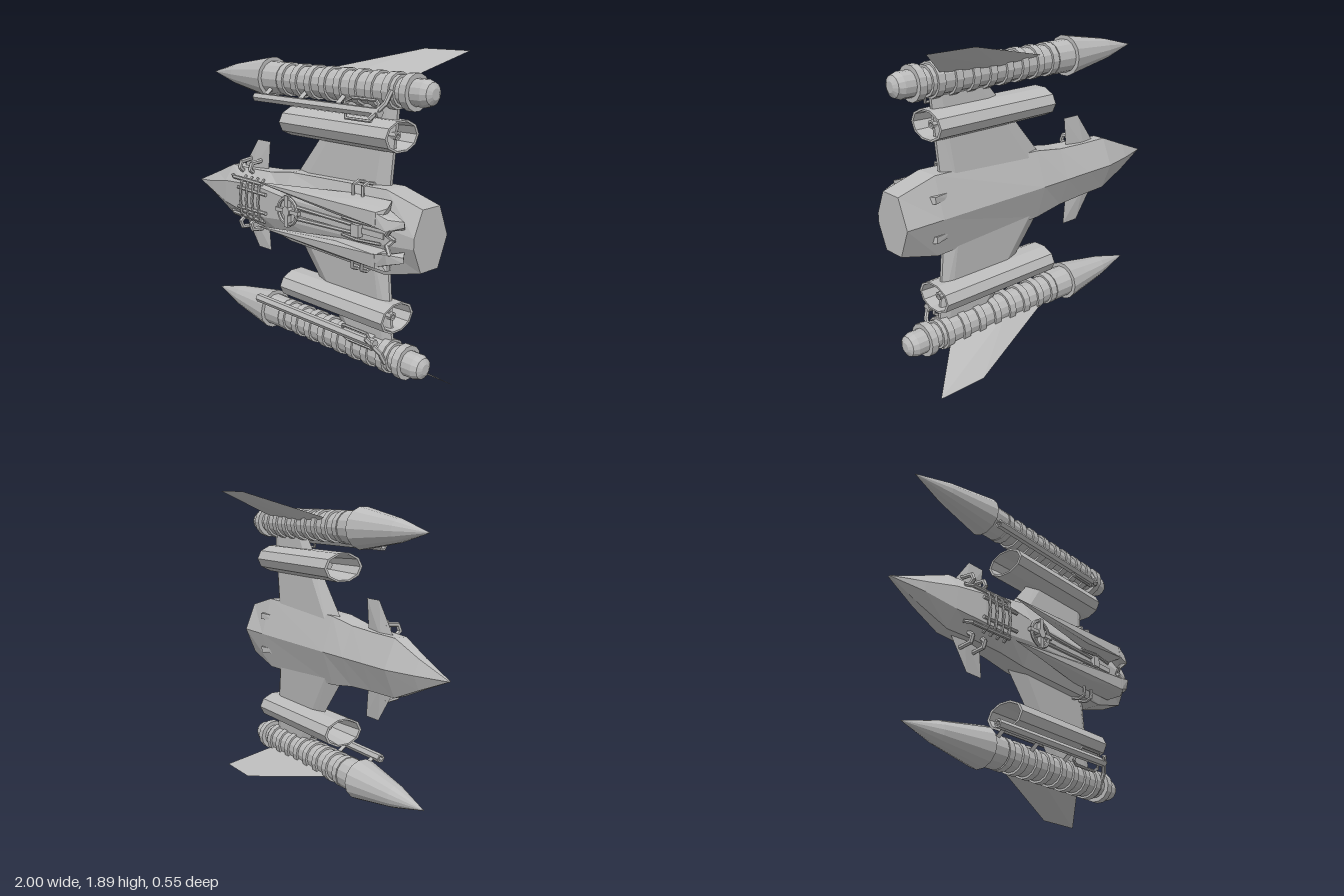
import * as THREE from 'three';
import { mergeGeometries } from 'three/addons/utils/BufferGeometryUtils.js';
import { ConvexGeometry } from 'three/addons/geometries/ConvexGeometry.js';

const V = (p) => new THREE.Vector3(...p);

// faceted copy of a geometry, positions and normals only
function facet(geo) {
  const g = geo.index ? geo.toNonIndexed() : geo.clone();
  g.deleteAttribute('uv');
  g.computeVertexNormals();
  return g;
}

// reflection in y, with the corner order restored
function mirrorY(geo) {
  const g = geo.clone().scale(1, -1, 1);
  const p = g.attributes.position;
  const a = new THREE.Vector3(), b = new THREE.Vector3();
  for (let i = 0; i < p.count; i += 3) {
    a.fromBufferAttribute(p, i + 1);
    b.fromBufferAttribute(p, i + 2);
    p.setXYZ(i + 1, b.x, b.y, b.z);
    p.setXYZ(i + 2, a.x, a.y, a.z);
  }
  g.computeVertexNormals();
  return g;
}

const hull = (pts) => new ConvexGeometry(pts.map(V));

// straight rods joined along a path
function rods(points, r, sides = 6, closed = false) {
  const pts = points.map(V), parts = [];
  if (closed) pts.push(pts[0]);
  for (let i = 0; i < pts.length - 1; i++) {
    const d = pts[i + 1].clone().sub(pts[i]);
    const g = new THREE.CylinderGeometry(r, r, d.length() + r * 0.6, sides);
    g.applyQuaternion(new THREE.Quaternion().setFromUnitVectors(V([0, 1, 0]), d.normalize()));
    const m = pts[i].clone().add(pts[i + 1]).multiplyScalar(0.5);
    parts.push(g.translate(m.x, m.y, m.z));
  }
  return mergeGeometries(parts);
}

function box(x0, x1, y0, y1, z0, z1) {
  return new THREE.BoxGeometry(x1 - x0, y1 - y0, z1 - z0)
    .translate((x0 + x1) / 2, (y0 + y1) / 2, (z0 + z1) / 2);
}

// turned shape along x from [x, radius] pairs
function turned(profile, sides) {
  const pts = profile.map(([x, r]) => new THREE.Vector2(r, x));
  return new THREE.LatheGeometry(pts, sides).rotateZ(-Math.PI / 2);
}

// skin over cross-sections of equal point count, capped at both ends
function loft(sections) {
  const n = sections[0].length, pos = sections.flat(2), idx = [];
  for (let i = 0; i < sections.length - 1; i++) {
    for (let j = 0; j < n; j++) {
      const k = (j + 1) % n, a = i * n + j, b = i * n + k;
      idx.push(a, b, b + n, a, b + n, a + n);
    }
  }
  const e = (sections.length - 1) * n;
  for (let j = 1; j < n - 1; j++) idx.push(0, j + 1, j, e, e + j, e + j + 1);
  const g = new THREE.BufferGeometry();
  g.setAttribute('position', new THREE.Float32BufferAttribute(pos, 3));
  g.setIndex(idx);
  return g;
}

export function createModel() {
  const model = new THREE.Group();
  const hullGrey = new THREE.MeshStandardMaterial({ color: 0xbcbcbc });
  hullGrey.name = 'hull grey';
  const ship = new THREE.Group();
  ship.name = 'ship';
  ship.position.y = 0.953;
  model.add(ship);

  const add = (name, geo) => {
    const m = new THREE.Mesh(facet(geo), hullGrey);
    m.name = name;
    ship.add(m);
  };
  const pair = (name, geo) => {
    add('upper ' + name, geo);
    add('lower ' + name, mirrorY(facet(geo)));
  };

  // fuselage: x, half width, back ridge, lower side, upper side, deck half width, deck
  add('fuselage', loft([
    [-1, 0.004, 0.025, 0.03, 0.04, 0.002, 0.045],
    [-0.8, 0.085, -0.035, 0, 0.05, 0.03, 0.1],
    [-0.6, 0.168, -0.08, -0.01, 0.07, 0.07, 0.14],
    [-0.4, 0.172, -0.085, -0.015, 0.09, 0.09, 0.17],
    [-0.2, 0.182, -0.09, -0.02, 0.1, 0.09, 0.172],
    [0, 0.212, -0.095, -0.025, 0.11, 0.07, 0.175],
    [0.76, 0.235, -0.1, -0.03, 0.115, 0.05, 0.175],
    [1, 0.17, -0.1, -0.03, 0.11, 0.03, 0.172],
  ].map(([x, w, zb, zl, zh, d, zf]) => [
    [x, 0, zb], [x, w, zl], [x, w, zh], [x, d, zf], [x, -d, zf], [x, -w, zh], [x, -w, zl],
  ])));

  // main wings running out to the nacelles
  const wing = [];
  for (const [y, x0, x1, x2, x3, t] of [[0.12, -0.1, 0.03, 0.61, 0.69, 0.05], [0.66, 0.34, 0.41, 0.68, 0.74, 0.024]]) {
    wing.push([x0, y, 0.012], [x3, y, 0.022], [x3, y, 0.002]);
    for (const s of [1, -1]) wing.push([x1, y, 0.012 + s * t], [x2, y, 0.012 + s * t]);
  }
  pair('wing', hull(wing));

  // canards
  pair('canard', hull([
    [-0.55, 0.14, 0.03], [-0.3, 0.14, 0.03], [-0.44, 0.14, 0.05], [-0.44, 0.14, 0.01],
    [-0.4, 0.35, 0.03], [-0.28, 0.35, 0.03],
  ]));

  // open engine pods with hub and spokes
  const place = (g, y) => g.translate(0, y, 0.015);
  pair('engine pod', place(turned(
    [[-0.06, 0.118], [-0.06, 0.135], [0.77, 0.135], [0.77, 0.118], [0.5, 0.095], [0.2, 0.095], [-0.06, 0.118]], 10,
  ).scale(1, 0.66, 1), 0.507));
  pair('engine hub', place(turned([[0.1, 0], [0.1, 0.024], [0.74, 0.024], [0.74, 0.012], [0.7, 0]], 8), 0.507));
  pair('engine spoke', place(box(0.55, 0.7, -0.075, 0.075, -0.008, 0.008), 0.507));

  // nacelles: cone, ribbed barrel and nozzle
  const NY = 0.745;
  pair('nacelle cone', place(turned(
    [[-0.85, 0], [-0.6, 0.066], [-0.4, 0.1], [-0.26, 0.124], [-0.26, 0.088]], 14), NY));
  pair('nacelle barrel', place(turned(
    [[-0.262, 0], [-0.262, 0.1], [-0.13, 0.098], [-0.13, 0.087], [0.77, 0.087], [0.77, 0.073],
      [0.93, 0.073], [0.965, 0.06], [0.982, 0.03], [0.982, 0]], 14), NY));
  for (let i = 0; i < 9; i++) {
    const x = -0.1 + i * 0.1175;
    pair('nacelle rib', place(turned(
      [[x - 0.023, 0.07], [x - 0.023, 0.1], [x + 0.023, 0.1], [x + 0.023, 0.07]], 14), NY));
  }

  // swept tail fins
  pair('tail fin', hull([
    [-0.1, 0.77, -0.03], [0.3, 0.79, -0.015], [0.3, 0.765, -0.055], [0.7, 0.78, -0.04],
    [0.66, 0.947, -0.28], [0.962, 0.947, -0.28],
  ]));

  // side rails with their bracket frames
  pair('side rail', turned(
    [[-0.24, 0], [-0.24, 0.016], [-0.27, 0.016], [-0.27, 0.027], [0.73, 0.027], [0.73, 0]], 6,
  ).translate(0, 0.638, 0.148));
  for (const x of [-0.2, 0.1, 0.4]) {
    pair('rail mount', rods([[x, 0.638, 0.148], [x, 0.7, 0.07]], 0.016, 4));
  }
  pair('rail frame', rods([
    [0.45, 0.675, 0.12], [0.49, 0.695, 0.11], [0.67, 0.695, 0.11], [0.7, 0.675, 0.12],
    [0.67, 0.59, 0.155], [0.49, 0.59, 0.155],
  ], 0.009, 6, true));
  pair('rail strut', rods([[0.76, 0.75, 0.1], [0.75, 0.69, 0.13], [0.69, 0.61, 0.18]], 0.014));

  // long dorsal strakes ending in a fork
  pair('strake', hull([
    [-0.19, 0.138, 0.215], [-0.19, 0.136, 0.21],
    [0.5, 0.075, 0.235], [0.5, 0.165, 0.225], [0.5, 0.18, 0.13],
    [0.82, 0.075, 0.27], [0.82, 0.15, 0.265], [0.82, 0.19, 0.14], [0.82, 0.07, 0.17],
    [0.5, 0.075, 0.17], [0.86, 0.17, 0.22],
  ]));
  pair('fork prong', hull([
    [0.8, 0.075, 0.27], [0.8, 0.15, 0.265], [0.89, 0.06, 0.265], [0.89, 0.12, 0.25],
    [0.95, 0.08, 0.19], [0.95, 0.11, 0.19], [0.8, 0.15, 0.15], [0.93, 0.06, 0.16],
  ]));
  pair('fork link', rods([[0.9, 0.07, 0.24], [0.86, 0.03, 0.22], [0.88, 0, 0.19]], 0.013));

  // deck wheel with crossbars
  add('deck wheel', new THREE.TorusGeometry(0.08, 0.011, 6, 20).translate(0.06, 0, 0.192));
  add('wheel hub', new THREE.CylinderGeometry(0.03, 0.03, 0.04, 10).rotateX(Math.PI / 2).translate(0.06, 0, 0.19));
  add('wheel crossbar', box(-0.04, 0.16, -0.011, 0.011, 0.18, 0.203));
  add('wheel upright', box(0.045, 0.075, -0.095, 0.095, 0.18, 0.207));

  // deck pipes and their coupling
  pair('deck pipe', rods([[0.12, 0.035, 0.185], [0.6, 0.022, 0.185]], 0.011));
  add('deck channel', box(0.15, 0.8, -0.016, 0.016, 0.165, 0.182));
  add('pipe coupling', box(0.59, 0.645, -0.035, 0.035, 0.17, 0.21));
  pair('coupling pipe', rods([[0.5, 0.05, 0.18], [0.62, 0.05, 0.2], [0.78, 0.045, 0.185]], 0.009));

  // ribbed cage on the forward deck
  pair('cage outer pipe', rods([[-0.53, 0.115, 0.13], [-0.49, 0.115, 0.155], [-0.2, 0.115, 0.172]], 0.012));
  pair('cage inner pipe', rods([[-0.42, 0.062, 0.178], [-0.15, 0.058, 0.185]], 0.011));
  for (let i = 0; i < 4; i++) {
    const x = -0.385 + i * 0.057;
    add('cage hoop', rods([
      [x, -0.135, 0.14], [x, -0.1, 0.18], [x, 0, 0.193], [x, 0.1, 0.18], [x, 0.135, 0.14],
    ], 0.009));
  }

  // handle loops beside the canards and on the rear flanks
  for (const x of [-0.46, -0.36]) {
    pair('canard loop', rods([[x, 0.15, 0.1], [x, 0.175, 0.13], [x, 0.212, 0.115], [x, 0.222, 0.03]], 0.014));
  }
  for (const x of [0.55, 0.62]) {
    pair('flank loop', rods([[x, 0.18, 0.15], [x, 0.235, 0.15], [x, 0.25, 0.11], [x, 0.235, 0.06]], 0.01));
  }

  // small vents under the tail
  pair('belly vent', hull([
    [0.68, 0.1, -0.06], [0.8, 0.095, -0.085], [0.8, 0.135, -0.085],
    [0.82, 0.095, -0.05], [0.82, 0.135, -0.05], [0.68, 0.13, -0.055],
  ]));
  return model;
}
